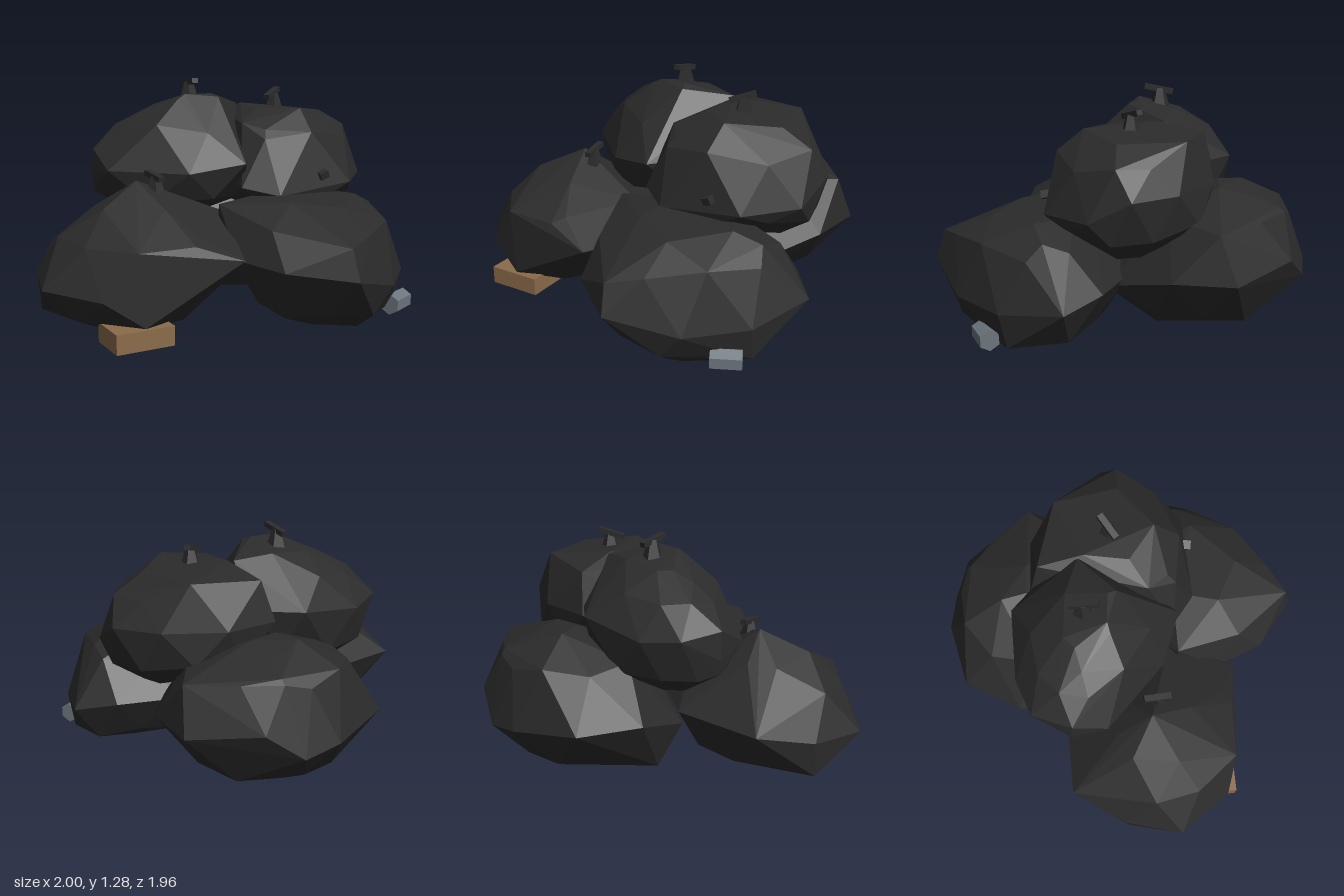
import * as THREE from 'three';
import { ConvexGeometry } from 'three/addons/geometries/ConvexGeometry.js';

export function createModel() {
  const group = new THREE.Group();
  const material = (name, color) => {
    const m = new THREE.MeshStandardMaterial({ color });
    m.name = name;
    return m;
  };
  const bagBlack = material('bagBlack', 0x2b2b2b);
  const cardboard = material('cardboard', 0x8b6b4a);
  const metal = material('metal', 0x6c757d);

  const add = (name, geometry, mat) => {
    const mesh = new THREE.Mesh(geometry, mat);
    mesh.name = name;
    group.add(mesh);
    return mesh;
  };

  // Low-poly prism or cone with flat facets
  function faceted(top, bottom, height, sides) {
    const geometry = new THREE.CylinderGeometry(top, bottom, height, sides).toNonIndexed();
    geometry.computeVertexNormals();
    return geometry;
  }

  // Faceted sack: a widest outline [x, y, z], staggered scaled copies of it
  // at other heights [y, scale, dx, dz], and a few extra corner points.
  function bag(name, outline, levels, corners) {
    const girth = outline.map((p) => new THREE.Vector3(...p));
    const centre = new THREE.Vector3();
    girth.forEach((p) => centre.addScaledVector(p, 1 / girth.length));
    const points = [...girth, ...corners.map((p) => new THREE.Vector3(...p))];
    for (const [y, s, dx = 0, dz = 0] of levels) {
      const step = s < 0.6 ? 2 : 1;
      for (let i = 0; i < girth.length; i += step) {
        const mid = girth[i].clone().lerp(girth[(i + 1) % girth.length], 0.5);
        points.push(new THREE.Vector3(
          centre.x + (mid.x - centre.x) * s * 1.06 + dx,
          Math.max(0, y + 0.025 * Math.sin(i * 2.4 + y * 9)),
          centre.z + (mid.z - centre.z) * s * 1.06 + dz));
      }
    }
    add(name, new ConvexGeometry(points), bagBlack);
  }

  bag('frontRightBag',
    [[-0.95, 0.4, 0.1], [-1, 0.32, 0.43], [-0.95, 0.3, 0.75], [-0.65, 0.28, 0.93], [-0.25, 0.3, 0.82],
      [0.05, 0.42, 0.74], [0.06, 0.4, 0.3], [-0.1, 0.4, 0], [-0.5, 0.4, -0.1]],
    [[0.14, 0.7, -0.06], [0.07, 0.36, -0.05, 0.02], [0.51, 0.76], [0.65, 0.4, -0.02]],
    [[-0.48, 0.78, 0.4], [-0.98, 0.12, 0.45], [-0.48, 0.51, 0.9], [-0.2, 0.51, 0.79], [-0.65, 0.67, 0.61],
      [-0.45, 0.14, 0.9], [-0.4, 0.02, 0.42], [-0.02, 0.6, 0.35]]);

  bag('frontLeftBag',
    [[0.97, 0.3, -0.04], [0.97, 0.25, 0.33], [0.83, 0.25, 0.66], [0.58, 0.35, 0.95], [0.23, 0.38, 0.86],
      [0.02, 0.4, 0.65], [-0.06, 0.5, 0.42], [0.1, 0.4, 0], [0.4, 0.35, -0.15], [0.75, 0.35, -0.15]],
    [[0.12, 0.74, 0.06], [0.02, 0.4, 0.1], [0.54, 0.78, 0, 0.03], [0.67, 0.45]],
    [[-0.05, 0.65, 0.42], [0.82, 0.6, 0.15], [0.94, 0.06, 0.3], [0.55, 0.51, 0.91]]);

  bag('backBag',
    [[-0.59, 0.4, -0.35], [-0.55, 0.4, -0.7], [-0.24, 0.35, -0.93], [-0.04, 0.31, -0.98], [0.16, 0.45, -0.96],
      [0.52, 0.4, -0.78], [0.6, 0.4, -0.46], [0.5, 0.3, -0.05], [0.05, 0.3, 0.1], [-0.45, 0.3, -0.05]],
    [[0.14, 0.68, 0, 0.03], [0.08, 0.34, 0.04, 0.12], [0.66, 0.68, 0, -0.04], [0.78, 0.2, 0, -0.08]],
    [[0.22, 0.02, -0.23], [-0.42, 0.06, -0.18], [0, 0.12, -0.78], [0.05, 0.7, -0.86], [0.5, 0.65, -0.68]]);

  bag('topRightBag',
    [[-0.71, 0.88, -0.2], [-0.72, 0.75, 0.02], [-0.63, 0.8, 0.2], [-0.2, 0.8, 0.37], [0.1, 0.85, 0.36],
      [0.2, 0.85, 0], [0.05, 0.9, -0.4], [-0.2, 0.9, -0.5], [-0.55, 0.85, -0.35]],
    [[0.65, 0.87], [0.55, 0.5], [1.02, 0.7, 0.02], [1.16, 0.38, 0.1]],
    [[-0.71, 0.67, 0.03], [-0.71, 0.9, 0.03], [-0.46, 1.09, 0], [-0.2, 1.2, 0.05], [-0.05, 1.2, 0],
      [0.11, 1.13, -0.22]]);

  bag('topLeftBag',
    [[0.78, 0.85, -0.32], [0.82, 0.73, -0.1], [0.7, 0.72, 0.2], [0.28, 0.68, 0.4], [0.08, 0.72, 0.35],
      [-0.02, 0.8, 0], [-0.05, 0.85, -0.45], [0.23, 0.85, -0.55], [0.56, 0.85, -0.48]],
    [[0.63, 0.88], [0.52, 0.5], [0.98, 0.8], [1.1, 0.48]],
    [[0.4, 1.09, -0.46], [0.75, 1, -0.22], [0.14, 1.13, -0.2], [0.02, 1.07, -0.42], [0.1, 1.05, 0.18],
      [0.22, 1.02, 0.25], [0.45, 1, 0.2], [0.67, 0.95, 0.04], [0.4, 0.67, -0.53]]);

  // Tied necks, each with a slanted strip of knotted plastic from a to b
  function knot(name, base, a, b) {
    const neck = add(name + 'Neck', faceted(0.026, 0.055, 0.1, 5), bagBlack);
    neck.position.set(...base);
    const from = new THREE.Vector3(...a);
    const to = new THREE.Vector3(...b);
    const strip = add(name + 'Strip', new THREE.BoxGeometry(0.035, 0.028, from.distanceTo(to)), bagBlack);
    strip.position.lerpVectors(from, to, 0.5);
    strip.lookAt(to);
  }
  knot('topRightKnot', [-0.17, 1.21, -0.09], [-0.19, 1.24, -0.16], [-0.14, 1.27, -0.01]);
  knot('topLeftKnot', [0.32, 1.14, -0.12], [0.27, 1.17, -0.06], [0.35, 1.21, -0.18]);
  knot('frontRightKnot', [-0.38, 0.75, 0.4], [-0.42, 0.81, 0.33], [-0.35, 0.79, 0.46]);
  const knob = add('frontLeftKnot', new THREE.BoxGeometry(0.05, 0.04, 0.1), bagBlack);
  knob.position.set(0.525, 0.78, 0.25);
  knob.rotation.set(0.2, 0.3, 0.3);

  // Flattened carton under the front
  const carton = add('carton', new THREE.BoxGeometry(0.305, 0.1, 0.23), cardboard);
  carton.position.set(-0.495, 0.09, 0.815);
  carton.rotation.y = 0.4;

  // Six-sided can lying on its side
  const can = add('can', faceted(0.057, 0.057, 0.16, 6), metal);
  can.geometry.rotateY(Math.PI / 6).rotateZ(-Math.PI / 2);
  can.position.set(0.912, 0.1, 0.445);
  can.rotation.y = 0.83;

  return group;
}
